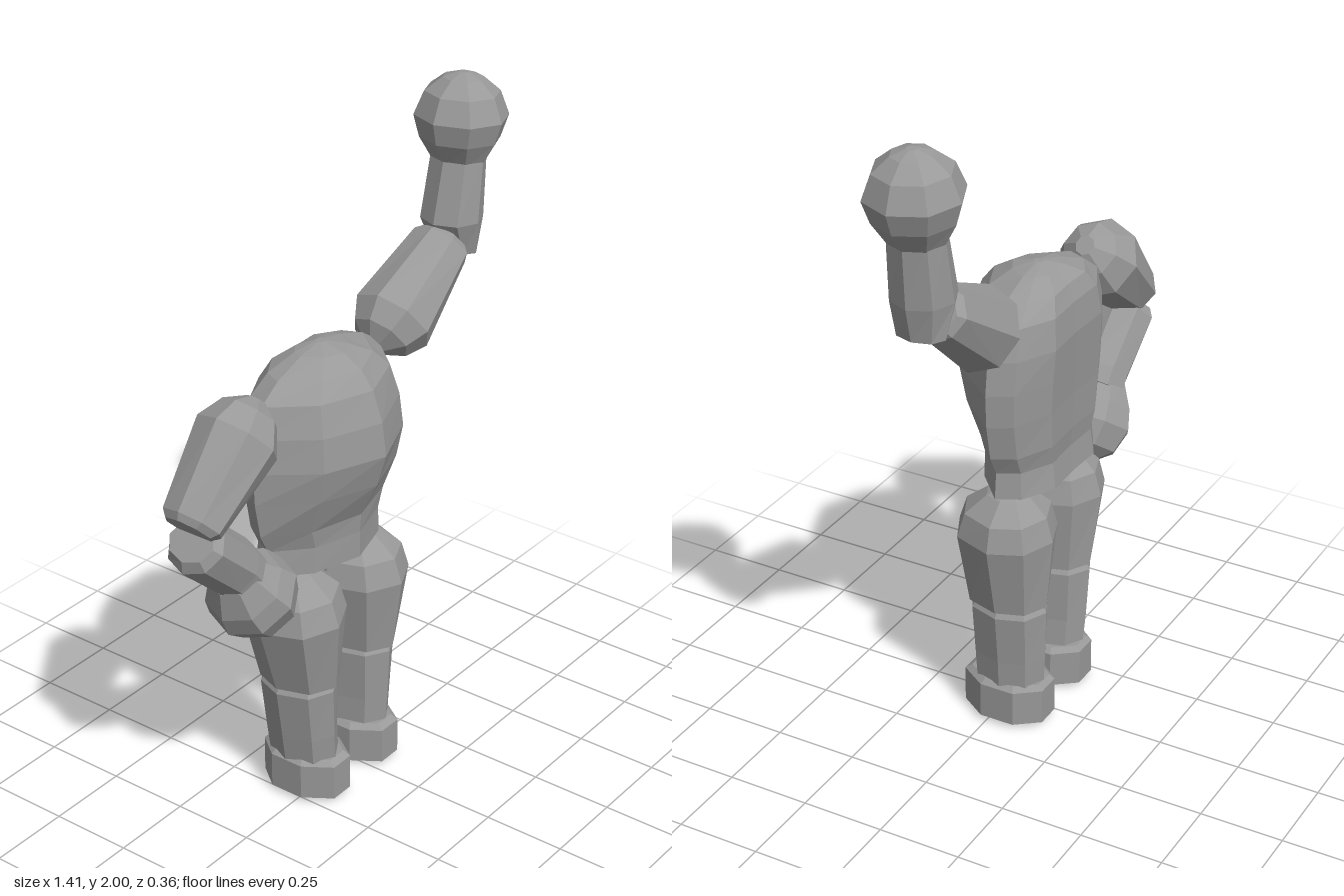
import * as THREE from 'three';

const MID_Z = -0.04;

// Unit cross-section of the limbs: an octagon with its corners on the axes
const octagon = Array.from({ length: 8 }, (_, i) => [Math.cos(i * Math.PI / 4), Math.sin(i * Math.PI / 4)]);
// Same octagon turned half a step so the faces point outward
const flatOctagon = Array.from({ length: 8 }, (_, i) => {
  const a = (i + 0.5) * Math.PI / 4;
  return [Math.cos(a) * 1.08, Math.sin(a) * 1.08];
});
// Torso cross-section: keeled chest, flat back
const chest = [[1, 0], [0.6, 0.67], [0, 1], [-0.6, 0.67], [-1, 0], [-0.87, -0.55], [-0.47, -1], [0, -0.96], [0.47, -1], [0.87, -0.55]];

// Skin a closed solid over rings [x, y, half width, front depth, back depth]
function loft(section, rings) {
  const n = section.length, first = rings[0], last = rings[rings.length - 1];
  const axis = new THREE.Vector2(last[0] - first[0], last[1] - first[1]).normalize();
  const pos = [], idx = [];
  for (const [x, y, w, front = w, back = front] of rings) {
    for (const [u, v] of section) {
      pos.push(x + axis.y * u * w, y - axis.x * u * w, MID_Z + v * (v > 0 ? front : back));
    }
  }
  const base = pos.length / 3;
  pos.push(first[0], first[1], MID_Z, last[0], last[1], MID_Z);
  const end = (rings.length - 1) * n;
  for (let j = 0; j < n; j++) {
    const k = (j + 1) % n;
    for (let i = 0; i < end; i += n) {
      idx.push(i + j, i + n + j, i + k, i + k, i + n + j, i + n + k);
    }
    idx.push(base, j, k, base + 1, end + k, end + j);
  }
  const geo = new THREE.BufferGeometry();
  geo.setAttribute('position', new THREE.Float32BufferAttribute(pos, 3));
  geo.setIndex(idx);
  const flat = geo.toNonIndexed();
  flat.computeVertexNormals();
  return flat;
}

export function createModel() {
  const model = new THREE.Group();
  model.name = 'figure';
  const grey = new THREE.MeshStandardMaterial({ color: 0x999999, flatShading: true });
  grey.name = 'grey';

  const addGroup = (name) => {
    const group = new THREE.Group();
    group.name = name;
    model.add(group);
    return group;
  };
  const add = (parent, name, rings, section = octagon) => {
    const mesh = new THREE.Mesh(loft(section, rings), grey);
    mesh.name = name;
    parent.add(mesh);
  };

  // Torso, from the pointed underside up to the domed shoulders
  const cx = -0.085;
  add(model, 'torso', [
    [cx, 0.715, 0.01, 0.01, 0.01],
    [cx, 0.78, 0.25, 0.135, 0.122],
    [cx, 0.86, 0.243, 0.135, 0.112],
    [cx, 0.92, 0.275, 0.14, 0.118],
    [cx, 1.03, 0.297, 0.195, 0.12],
    [cx, 1.13, 0.302, 0.225, 0.125],
    [cx, 1.23, 0.29, 0.212, 0.13],
    [cx, 1.32, 0.262, 0.18, 0.12],
    [cx, 1.37, 0.19, 0.14, 0.1],
    [cx, 1.405, 0.09, 0.08, 0.055],
    [cx, 1.42, 0.015, 0.015, 0.015],
  ], chest);

  // Legs: x positions of hip, knee, ankle and foot for each side
  const legs = [['left', 0.07, 0.068, 0.062, 0.06], ['right', -0.228, -0.203, -0.182, -0.175]];
  for (const [side, hip, knee, ankle, foot] of legs) {
    const leg = addGroup(side + 'Leg');
    add(leg, side + 'Thigh', [
      [knee, 0.4, 0.101, 0.14, 0.115],
      [hip, 0.625, 0.145, 0.17, 0.135],
      [hip, 0.7, 0.128, 0.145, 0.115],
      [hip, 0.755, 0.068, 0.075, 0.06],
      [hip, 0.775, 0.025, 0.025, 0.02],
    ]);
    add(leg, side + 'Shin', [
      [ankle, 0.12, 0.083, 0.12, 0.105],
      [(knee + ankle) / 2, 0.22, 0.086, 0.125, 0.11],
      [knee, 0.38, 0.099, 0.13, 0.115],
      [knee, 0.405, 0.085, 0.115, 0.1],
    ]);
    add(leg, side + 'Foot', [
      [foot, 0, 0.01, 0.01, 0.01],
      [foot, 0.015, 0.093, 0.14, 0.12],
      [foot, 0.125, 0.093, 0.14, 0.12],
      [foot, 0.14, 0.078, 0.12, 0.105],
    ], flatOctagon);
  }

  // Raised left arm
  const leftArm = addGroup('leftArm');
  add(leftArm, 'leftUpperArm', [
    [0.16, 1.3, 0.035], [0.19, 1.32, 0.09], [0.245, 1.353, 0.124],
    [0.475, 1.505, 0.08, 0.095], [0.493, 1.517, 0.065, 0.075],
  ]);
  add(leftArm, 'leftForearm', [
    [0.55, 1.472, 0.05, 0.075], [0.532, 1.575, 0.092, 0.092], [0.562, 1.77, 0.074, 0.085],
  ]);
  add(leftArm, 'leftHand', [
    [0.561, 1.74, 0.07, 0.08], [0.565, 1.81, 0.118], [0.57, 1.875, 0.138],
    [0.573, 1.945, 0.11], [0.576, 1.985, 0.06], [0.578, 2.0, 0.015],
  ]);

  // Right arm with the hand on the hip
  const rightArm = addGroup('rightArm');
  add(rightArm, 'rightUpperArm', [
    [-0.365, 1.35, 0.03], [-0.395, 1.325, 0.085], [-0.45, 1.275, 0.124],
    [-0.645, 1.1, 0.08, 0.095], [-0.66, 1.087, 0.065, 0.075],
  ]);
  add(rightArm, 'rightForearm', [
    [-0.65, 1.045, 0.06, 0.075], [-0.63, 1.025, 0.086, 0.092], [-0.484, 0.892, 0.085, 0.085],
    [-0.45, 0.85, 0.085, 0.085],
  ]);
  add(rightArm, 'rightHand', [
    [-0.48, 0.87, 0.075, 0.08], [-0.44, 0.81, 0.118], [-0.4, 0.762, 0.135],
    [-0.355, 0.705, 0.11], [-0.332, 0.677, 0.06], [-0.322, 0.665, 0.015],
  ]);

  return model;
}
